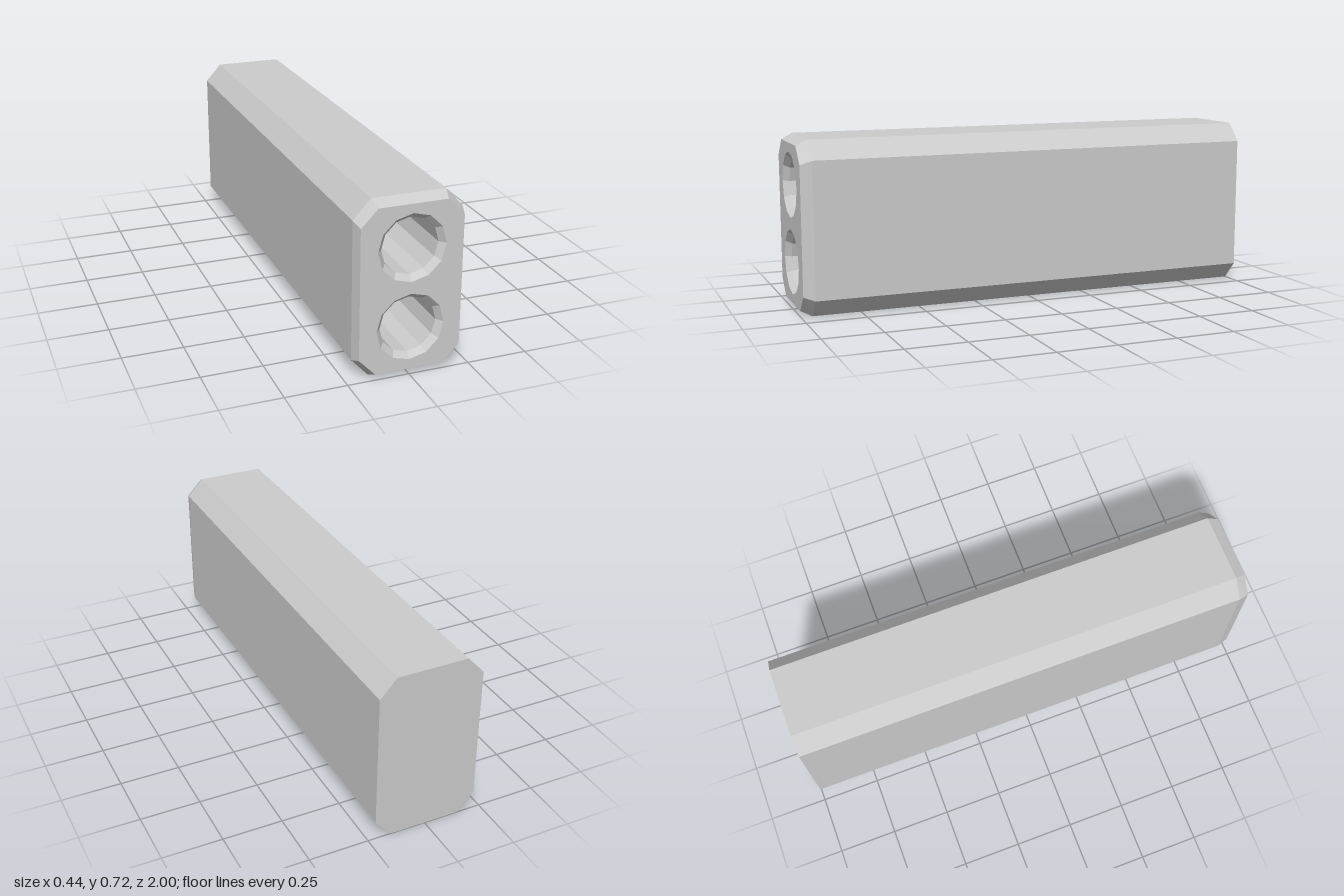
import * as THREE from 'three';

const material = new THREE.MeshStandardMaterial({ color: 0xcccccc, flatShading: true });

// Octagon with cut corners, counter-clockwise seen from the front
function octagon(halfW, halfTop, yMid, halfH, halfSide) {
  const quarter = [[halfW, halfSide], [halfTop, halfH]];
  return [
    [halfW, -halfSide], ...quarter,
    [-halfTop, halfH], [-halfW, halfSide],
    [-halfW, -halfSide], [-halfTop, -halfH], [halfTop, -halfH],
  ].map(([x, y]) => new THREE.Vector2(x, y + yMid));
}

function circle(y, r, sides = 12) {
  return Array.from({ length: sides }, (_, i) => {
    const a = (i / sides) * Math.PI * 2;
    return new THREE.Vector2(Math.cos(a) * r, y + Math.sin(a) * r);
  });
}

// Flat-sided skin through rings of equal point count, each { points, z }
function loft(rings) {
  const pos = [];
  for (let k = 0; k < rings.length - 1; k++) {
    const a = rings[k], b = rings[k + 1], n = a.points.length;
    for (let i = 0; i < n; i++) {
      const j = (i + 1) % n;
      const corner = (ring, m) => [ring.points[m].x, ring.points[m].y, ring.z];
      const [p, q, r, s] = [corner(a, i), corner(a, j), corner(b, j), corner(b, i)];
      pos.push(...p, ...q, ...r, ...p, ...r, ...s);
    }
  }
  const geo = new THREE.BufferGeometry();
  geo.setAttribute('position', new THREE.Float32BufferAttribute(pos, 3));
  geo.computeVertexNormals();
  return geo;
}

function face(points, z, holes = []) {
  const shape = new THREE.Shape(points);
  holes.forEach((h) => shape.holes.push(new THREE.Path(h)));
  return new THREE.ShapeGeometry(shape).translate(0, 0, z);
}

export function createModel() {
  const group = new THREE.Group();
  const add = (name, geometry) => {
    const mesh = new THREE.Mesh(geometry, material);
    mesh.name = name;
    group.add(mesh);
  };

  const outer = octagon(0.219, 0.149, 0.36, 0.36, 0.283);
  const inset = octagon(0.206, 0.139, 0.36, 0.336, 0.266);
  const boreY = [0.2, 0.522];
  const mouthR = 0.137, boreR = 0.115, boreEnd = 0;

  // Long body with a bevelled front rim
  add('bodySides', loft([{ points: outer, z: -1 }, { points: outer, z: 0.953 }, { points: inset, z: 1 }]));
  add('frontFace', face(inset, 1, boreY.map((y) => circle(y, mouthR))));
  add('backFace', face(outer, 1).rotateY(Math.PI));

  // Two blind bores with chamfered mouths
  boreY.forEach((y, i) => {
    const name = i ? 'upperBore' : 'lowerBore';
    add(name, loft([
      { points: circle(y, mouthR), z: 1 },
      { points: circle(y, boreR), z: 0.975 },
      { points: circle(y, boreR), z: boreEnd },
    ]));
    add(name + 'Floor', face(circle(y, boreR), boreEnd));
  });

  return group;
}
